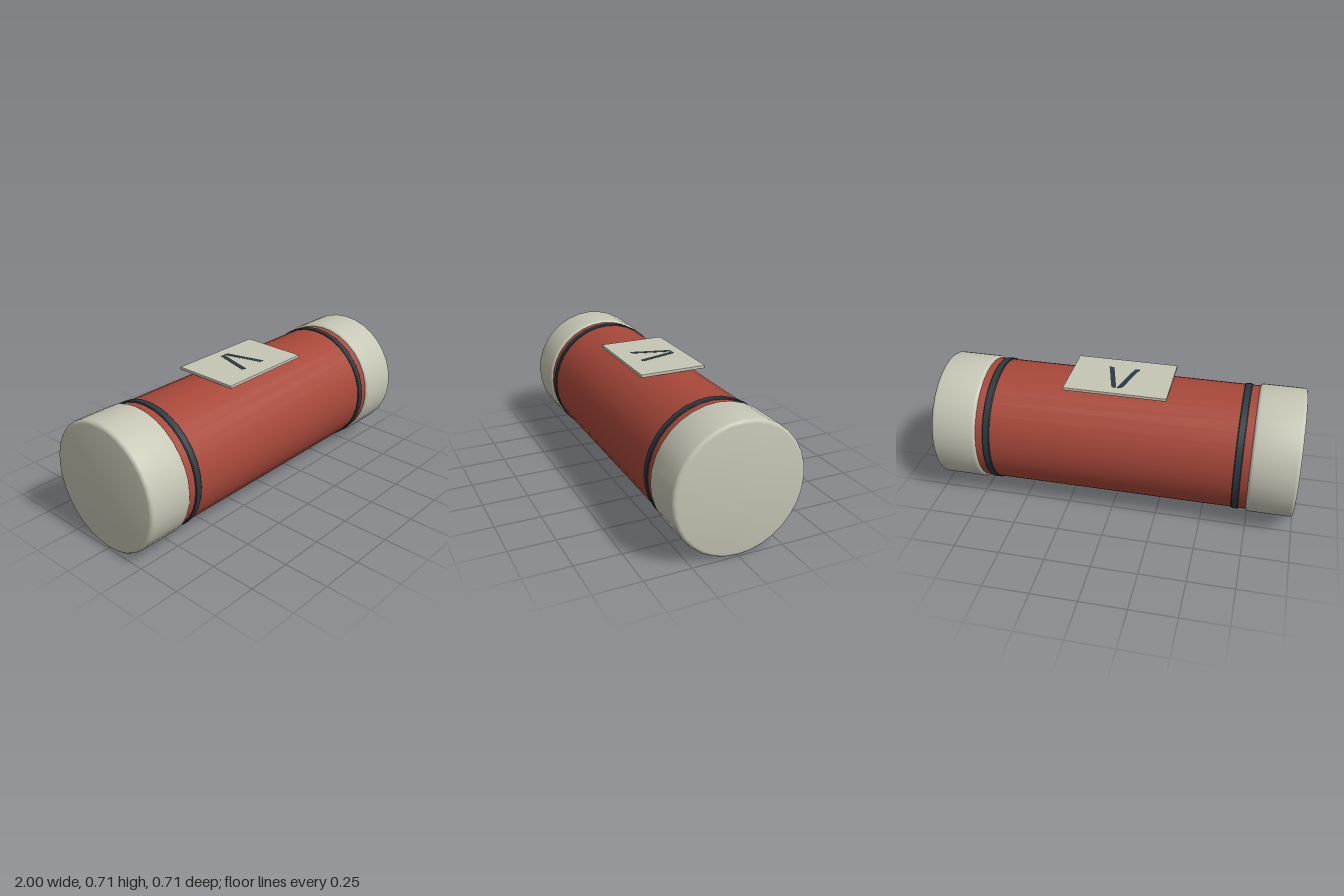
import * as THREE from 'three';
import { toCreasedNormals } from 'three/addons/utils/BufferGeometryUtils.js';

const CENTER_Y = 0.357;
const SEGMENTS = 32;

const mat = (name, color) => {
  const m = new THREE.MeshStandardMaterial({ color });
  m.name = name;
  return m;
};

// Solid turned about the x axis, from [radius, x] points running towards +x
function turned(name, points, material) {
  const profile = points.map(([r, x]) => new THREE.Vector2(r, x));
  let geo = new THREE.LatheGeometry(profile, SEGMENTS);
  geo.rotateZ(-Math.PI / 2);
  geo = toCreasedNormals(geo, 0.6);
  const mesh = new THREE.Mesh(geo, material);
  mesh.name = name;
  mesh.position.y = CENTER_Y;
  return mesh;
}

// Flat outline in x/z, extruded upwards from y
function slab(name, outline, y, height, bevel, material) {
  const shape = new THREE.Shape(outline.map(([x, z]) => new THREE.Vector2(x, -z)));
  const geo = new THREE.ExtrudeGeometry(shape, {
    depth: height - 2 * bevel, bevelEnabled: bevel > 0, bevelSize: bevel,
    bevelThickness: bevel, bevelOffset: -bevel, bevelSegments: 2,
  });
  geo.rotateX(-Math.PI / 2);
  const mesh = new THREE.Mesh(geo, material);
  mesh.name = name;
  mesh.position.y = y + bevel;
  return mesh;
}

export function createModel() {
  const red = mat('brick red', 0xa8483a);
  const stone = mat('pale stone', 0xc6c6b6);
  const dark = mat('dark slate', 0x2b3a42);
  const model = new THREE.Group();
  model.name = 'canister';

  // Main barrel
  model.add(turned('barrel', [[0, -0.8], [0.343, -0.8], [0.343, 0.8], [0, 0.8]], red));

  // Rounded end cap, symmetric about its own middle
  const half = 0.128, R = 0.355, b = 0.02;
  const cap = [[0, -half]];
  for (let i = 0; i <= 4; i++) {
    const a = (i / 4) * Math.PI / 2;
    cap.push([R - b + b * Math.sin(a), -half + b - b * Math.cos(a)]);
  }
  const capProfile = [...cap, ...cap.map(([r, x]) => [r, -x]).reverse()];
  const bandProfile = [[0.335, -0.02], [0.346, -0.02], [0.349, -0.016],
    [0.349, 0.016], [0.346, 0.02], [0.335, 0.02]];

  for (const [side, s] of [['left', 1], ['right', -1]]) {
    const endCap = turned(side + 'EndCap', capProfile, stone);
    endCap.position.x = s * (1 - half);
    const band = turned(side + 'Band', bandProfile, dark);
    band.position.x = s * 0.685;
    model.add(endCap, band);
  }

  // Plate resting on top of the barrel
  model.add(slab('topPlate',
    [[-0.28, 0.185], [0.28, 0.185], [0.28, -0.185], [-0.28, -0.185]],
    0.698, 0.017, 0.003, stone));

  // Two slanted painted bars on the plate
  const bar = [[0.059, 0.09], [0.086, 0.09], [0.027, -0.125], [0.001, -0.125]];
  model.add(slab('leftBar', bar, 0.713, 0.003, 0, dark));
  model.add(slab('rightBar', bar.map(([x, z]) => [-x, z]).reverse(), 0.713, 0.003, 0, dark));

  return model;
}
